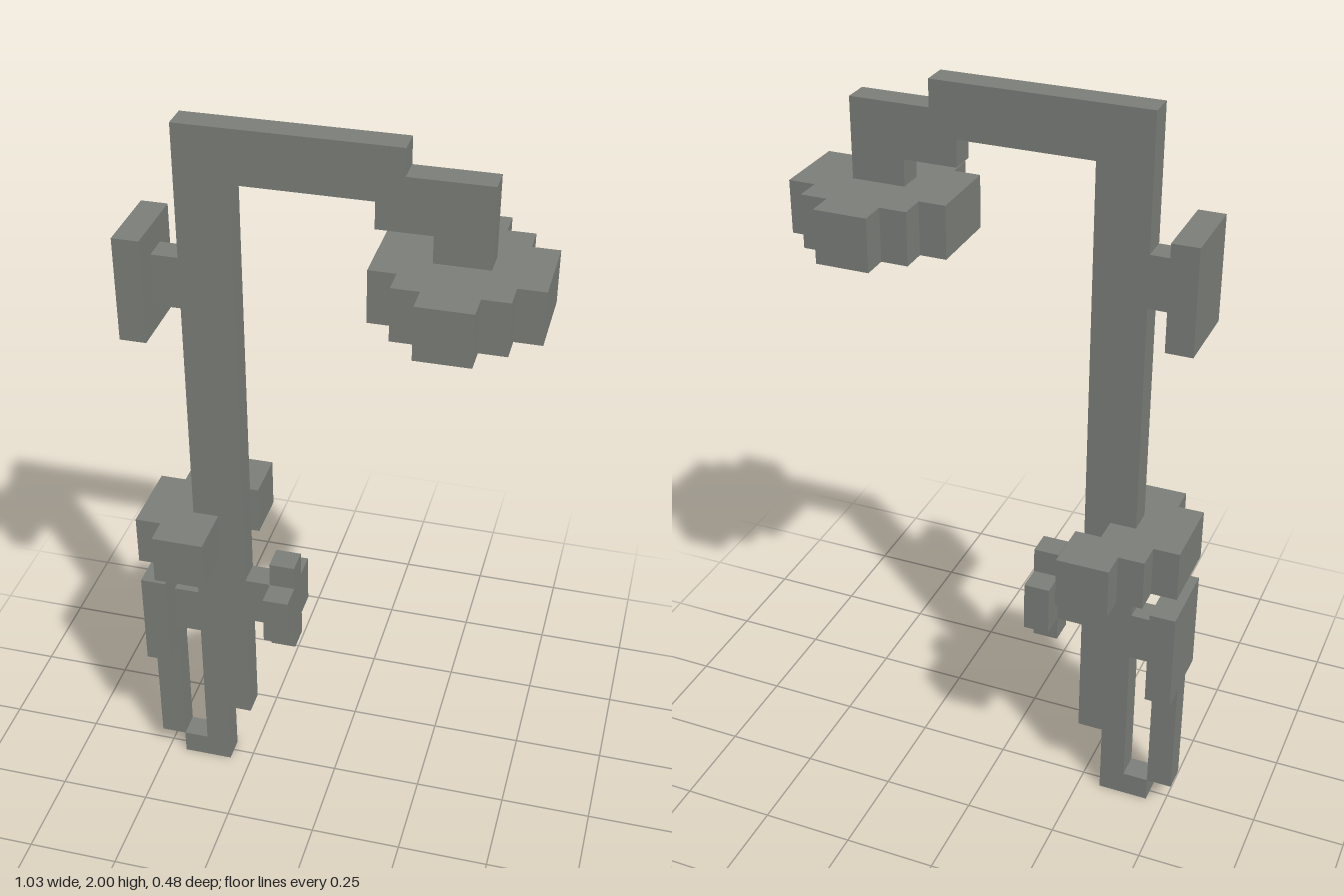
import * as THREE from 'three';

// One block is 1/29 of the height; plans are given in block units.
const U = 2 / 29;
const X0 = -7.5;

export function createModel() {
  const model = new THREE.Group();
  model.name = 'shower';
  const metal = new THREE.MeshStandardMaterial({ color: 0x7c7f7a, flatShading: true });
  metal.name = 'grey metal';

  const add = (name, geometry) => {
    geometry.scale(U, U, U);
    const mesh = new THREE.Mesh(geometry, metal);
    mesh.name = name;
    model.add(mesh);
  };

  // Box between block coordinates, centred on z with the given depth
  const box = (name, x0, x1, y0, y1, depth) => {
    const g = new THREE.BoxGeometry(x1 - x0, y1 - y0, depth);
    g.translate((x0 + x1) / 2 + X0, (y0 + y1) / 2, 0);
    add(name, g);
  };

  const extrude = (points, depth) => new THREE.ExtrudeGeometry(
    new THREE.Shape(points.map(([a, b]) => new THREE.Vector2(a + X0, b))),
    { depth, bevelEnabled: false });

  // Horizontal slab from an x, z outline
  const slab = (name, points, y0, y1) => {
    const g = extrude(points.map(([x, z]) => [x, -z]), y1 - y0);
    g.rotateX(-Math.PI / 2);
    g.translate(0, y0, 0);
    add(name, g);
  };

  // Riser pipe with foot and overhead arm
  const pipe = extrude([
    [1, 0], [3, 0], [3, 3], [4, 3], [4, 27], [9, 27], [9, 26], [11, 26],
    [11, 25], [13, 25], [13, 28], [10, 28], [10, 29], [2, 29], [2, 1], [1, 1],
  ], 1);
  pipe.translate(0, 0, -0.5);
  add('riserPipe', pipe);

  // Stepped round shower head
  const quarter = [[3, 1.5], [2, 1.5], [2, 2.5], [1, 2.5], [1, 3.5]];
  const half = [...quarter, ...quarter.map(([x, z]) => [-x, z]).reverse()];
  const ring = [...half, ...half.map(([x, z]) => [-x, -z])];
  slab('showerHead', ring.map(([x, z]) => [x + 12, z]), 23, 25);

  // Stepped soap tray around the pipe
  slab('soapTray', [
    [2, -3.5], [4, -3.5], [4, -1.5], [3, -1.5], [3, 2.5], [1, 2.5],
    [1, 1.5], [0, 1.5], [0, -1.5], [1, -1.5], [1, -2.5], [2, -2.5],
  ], 11, 13);

  // Wall plates and their brackets
  for (const [name, y] of [['upper', 21], ['lower', 6]]) {
    box(name + 'WallPlate', 0, 1, y, y + 4, 3);
    box(name + 'Bracket', 1, 2, y + 1, y + 3, 1);
  }

  // Hose hanging from the lower plate
  box('hose', 0, 1, 1, 6, 1);

  // Tap with a cross handle
  box('tapStem', 4, 5, 8, 10, 1);
  box('tapHandle', 5, 6, 8, 10, 3);
  box('tapHandleTop', 5, 6, 10, 11, 1);
  box('tapHandleBottom', 5, 6, 7, 8, 1);

  return model;
}
